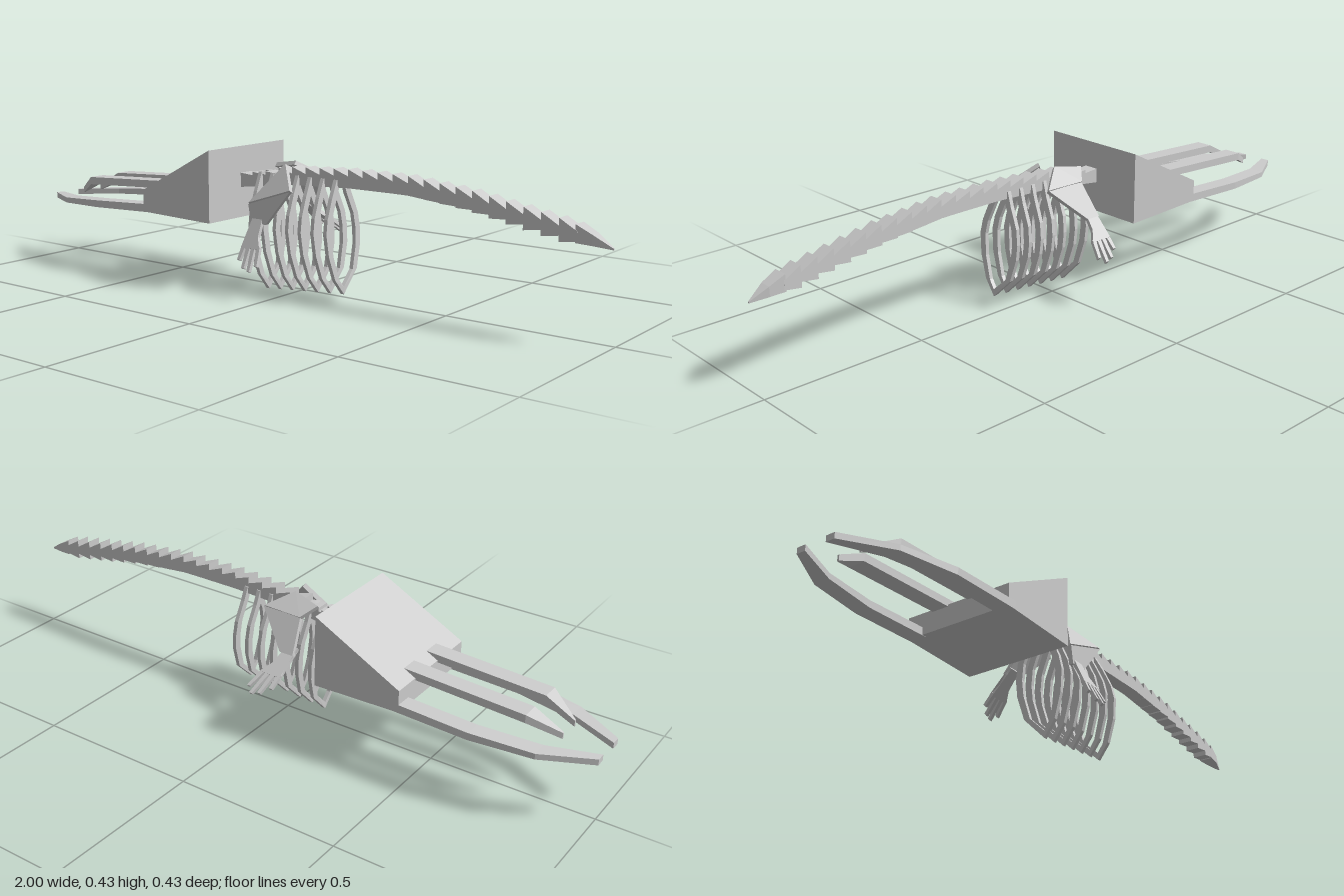
import * as THREE from 'three';

const material = new THREE.MeshStandardMaterial({ color: 0xcccccc, flatShading: true });
const vec = (p) => new THREE.Vector3(...p);

// Closed solid through cross-sections with equal point counts, wound outward
function loft(name, sections) {
  const n = sections[0].length;
  const pts = sections.flat().map(vec);
  const last = (sections.length - 1) * n;
  let tris = [];
  for (let s = 0; s < last; s += n) {
    for (let i = 0; i < n; i++) {
      const j = (i + 1) % n;
      tris.push([s + i, s + j, s + n + j], [s + i, s + n + j, s + n + i]);
    }
  }
  for (let i = 1; i < n - 1; i++) {
    tris.push([0, i + 1, i], [last, last + i, last + i + 1]);
  }
  const volume = tris.reduce((sum, [a, b, c]) => sum + pts[a].dot(pts[b].clone().cross(pts[c])), 0);
  if (volume < 0) tris = tris.map(([a, b, c]) => [a, c, b]);
  const geometry = new THREE.BufferGeometry().setFromPoints(tris.flat().map((i) => pts[i]));
  geometry.computeVertexNormals();
  const mesh = new THREE.Mesh(geometry, material);
  mesh.name = name;
  return mesh;
}

// Rectangle across the x axis
const rect = (x, y0, y1, z0, z1) => [[x, y0, z0], [x, y1, z0], [x, y1, z1], [x, y0, z1]];

// Flat polygon thickened along its normal
function plate(name, corners, thickness) {
  const [a, b] = corners.map(vec);
  const c = vec(corners[corners.length - 1]);
  const offset = b.sub(a).cross(c.sub(a)).normalize().multiplyScalar(thickness / 2);
  return loft(name, [-1, 1].map((s) =>
    corners.map((p) => vec(p).addScaledVector(offset, s).toArray())));
}

// Height of the underside of the spine
const spinePath = [[-0.2, 0.305], [0, 0.33], [0.2, 0.34], [0.4, 0.34], [0.6, 0.32], [0.8, 0.286], [1, 0.25]];
function spineY(x) {
  const i = Math.min(5, Math.max(0, Math.floor((x + 0.2) / 0.2)));
  const [[x0, y0], [x1, y1]] = [spinePath[i], spinePath[i + 1]];
  return y0 + ((x - x0) / (x1 - x0)) * (y1 - y0);
}

// Flipper: a palm that widens from the wrist, with four fingers
function flipper(side, wrist, tip, sideways) {
  const group = new THREE.Group();
  group.name = side + 'Flipper';
  const a = vec(wrist), along = vec(tip).sub(a), across = vec(sideways);
  const at = (u, v) => a.clone().addScaledVector(along, u).addScaledVector(across, v).toArray();
  group.add(plate('palm', [at(-0.1, -0.018), at(-0.1, 0.018), at(0.3, 0.018),
    at(0.55, 0.035), at(0.55, -0.035), at(0.3, -0.018)], 0.012));
  [0.8, 0.95, 1, 0.88].forEach((length, i) => {
    const v = -0.027 + i * 0.018;
    group.add(plate('finger', [at(0.5, v - 0.007), at(0.5, v + 0.007),
      at(length, v * 1.25 + 0.005), at(length, v * 1.25 - 0.005)], 0.011));
  });
  return group;
}

export function createModel() {
  const model = new THREE.Group();

  // Wedge skull
  model.add(loft('skull', [rect(-0.47, 0.22, 0.287, -0.148, 0.2), rect(-0.197, 0.213, 0.43, -0.148, 0.2)]));

  // Mirrored pairs of long jaw bones
  const middle = 0.026;
  for (const s of [1, -1]) {
    const bone = (name, rows) => model.add(loft(name, rows.map(([x, y0, y1, z0, z1]) =>
      rect(x, y0, y1, middle + s * z0, middle + s * z1))));
    bone('lowerJaw', [
      [-0.44, 0.22, 0.245, 0.122, 0.174],
      [-0.68, 0.211, 0.233, 0.122, 0.174],
      [-0.86, 0.203, 0.22, 0.092, 0.143],
      [-1, 0.195, 0.213, 0.034, 0.062],
    ]);
    bone('upperJaw', [
      [-0.4, 0.285, 0.308, 0.034, 0.088],
      [-0.8, 0.263, 0.287, 0.034, 0.088],
      [-0.888, 0.222, 0.24, 0.034, 0.04],
    ]);
  }

  // Saw-toothed spine, each vertebra tapering toward the tail
  const spine = new THREE.Group();
  spine.name = 'spine';
  const count = 22, step = 1.11 / count;
  for (let i = 0; i < count; i++) {
    const x = -0.2 + i * step, end = x + step;
    const flare = 0.016 * THREE.MathUtils.smoothstep(x, 0.4, 0.8);
    const tall = i < 3 ? 0.044 : 0.054;
    spine.add(loft('vertebra', [
      rect(x, spineY(x) - flare / 2, spineY(x) + tall, 0.011, 0.057),
      rect(end, spineY(end) + flare / 2, spineY(end) + 0.034, 0.011, 0.057),
    ]));
  }
  spine.add(loft('tailTip', [rect(0.905, 0.27, 0.318, 0.011, 0.057),
    rect(0.95, 0.267, 0.295, 0.016, 0.052), rect(1, 0.26, 0.264, 0.032, 0.036)]));
  model.add(spine);

  // Seven rib hoops; each row is outer z, inner z and height of one side
  const ribSides = {
    leftRib: [[0.06, 0.04, 0.36], [0.087, 0.064, 0.305], [0.112, 0.09, 0.245], [0.121, 0.099, 0.2],
      [0.114, 0.093, 0.13], [0.09, 0.072, 0.055], [0.052, 0.052, 0.005]],
    rightRib: [[0.008, 0.028, 0.36], [-0.007, 0.016, 0.315], [-0.034, -0.012, 0.25], [-0.041, -0.019, 0.2],
      [-0.038, -0.016, 0.15], [-0.016, 0.004, 0.075], [0.052, 0.052, 0.005]],
  };
  for (let i = 0; i < 7; i++) {
    const bottomX = -0.095 + i * 0.0463;
    for (const [name, rows] of Object.entries(ribSides)) {
      model.add(loft(name, rows.map(([outer, inner, y], k) => {
        const x = bottomX - 0.022 * (y / 0.36);
        const yy = y + i * 0.004 * (1 - y / 0.36);
        const rise = k === rows.length - 1 ? 0.022 : 0;
        return [[x - 0.006, yy, outer], [x + 0.006, yy, outer],
          [x + 0.006, yy + rise, inner], [x - 0.006, yy + rise, inner]];
      })));
    }
  }

  // Shoulder blades, folded across the middle
  model.add(plate('leftShoulderBlade', [[-0.01, 0.39, 0.067], [0.06, 0.325, 0.135], [-0.095, 0.275, 0.135]], 0.014));
  model.add(plate('leftUpperArm', [[0.06, 0.325, 0.135], [-0.03, 0.22, 0.135], [-0.085, 0.22, 0.135], [-0.095, 0.275, 0.135]], 0.014));
  model.add(plate('rightShoulderBlade', [[-0.02, 0.39, 0.015], [0.055, 0.345, -0.04], [-0.075, 0.345, -0.045], [-0.11, 0.375, -0.005]], 0.014));
  model.add(plate('rightUpperArm', [[0.055, 0.345, -0.04], [-0.045, 0.25, -0.1], [-0.09, 0.25, -0.1], [-0.075, 0.345, -0.04]], 0.014));

  // Flippers
  model.add(flipper('left', [-0.06, 0.225, 0.14], [-0.05, 0.09, 0.208], [1, 0, 0]));
  model.add(flipper('right', [-0.07, 0.255, -0.09], [-0.03, 0.155, -0.21], [1, 0, 0]));

  return model;
}
